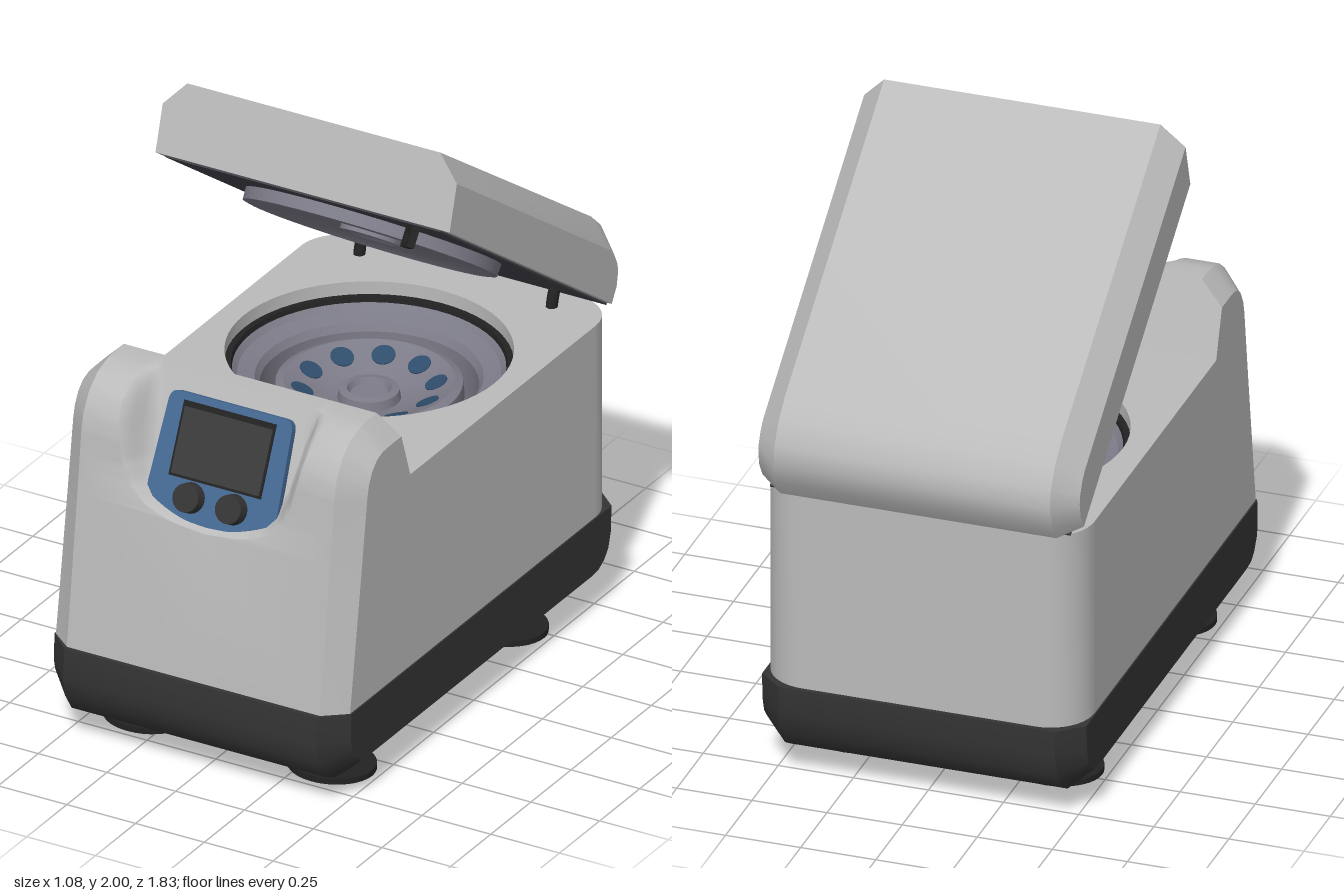
import * as THREE from 'three';
import { toCreasedNormals } from 'three/addons/utils/BufferGeometryUtils.js';

const mat = (name, color) => new THREE.MeshStandardMaterial({ name, color, side: THREE.DoubleSide });
const M = {
  shell: mat('light grey shell', 0xbababa),
  base: mat('charcoal base', 0x343434),
  black: mat('black fittings', 0x222222),
  blue: mat('blue trim', 0x446892),
  metal: mat('lavender metal', 0x7c7b88),
  liner: mat('dark lid liner', 0x444249),
  hole: mat('deep blue tube wells', 0x2f4d6b),
  screen: mat('screen grey', 0x3a3a3a),
};

const HALF = 0.535, FLAT = 0.46;          // outer half width, half width inside the chamfers
const CHAMBER_Z = -0.205, CHAMBER_R = 0.455, DECK = 1.02, SEAM = 0.34;

function add(parent, name, geo, material, x = 0, y = 0, z = 0) {
  const m = new THREE.Mesh(geo, material);
  m.name = name;
  m.position.set(x, y, z);
  parent.add(m);
  return m;
}

// Skin over rows of [x, y, z] points
function skin(rows, crease = 0.6) {
  const n = rows[0].length, idx = [];
  for (let i = 0; i < rows.length - 1; i++) for (let j = 0; j < n - 1; j++) {
    const a = i * n + j, b = a + n;
    idx.push(a, a + 1, b, a + 1, b + 1, b);
  }
  const g = new THREE.BufferGeometry();
  g.setAttribute('position', new THREE.Float32BufferAttribute(rows.flat(2), 3));
  g.setIndex(idx);
  return toCreasedNormals(g, crease);
}

// Flat side panels from a [z, y] outline, mirrored
function sides(parent, name, outline, half) {
  const g = new THREE.ShapeGeometry(new THREE.Shape(outline.map(p => new THREE.Vector2(...p))));
  g.rotateY(-Math.PI / 2).translate(-half, 0, 0);
  add(parent, name + 'Right', g, M[name.startsWith('base') ? 'base' : 'shell']);
  add(parent, name + 'Left', g, M[name.startsWith('base') ? 'base' : 'shell']).scale.x = -1;
}

// Closed [z, y] profile swept across x, chamfered to an inset profile at the sides
function chamferedBlock(parent, name, outer, inset, half, material) {
  const rows = outer.map(([z, y], i) => {
    const [iz, iy] = inset[i];
    return [[-half, iy, iz], [-FLAT, y, z], [FLAT, y, z], [half, iy, iz]];
  });
  rows.push(rows[0]);
  add(parent, name, skin(rows), material);
  sides(parent, name + 'Side', inset, half);
}

const lathe = (pts, seg = 64) =>
  toCreasedNormals(new THREE.LatheGeometry(pts.map(p => new THREE.Vector2(...p)), seg), 0.5);

// Piecewise linear lookup of column b by column a
function lookup(table, v, a, b) {
  for (let i = 1; i < table.length; i++) {
    const p = table[i - 1], q = table[i];
    if (v <= q[a]) return p[b] + (q[b] - p[b]) * Math.max(0, (v - p[a]) / (q[a] - p[a]));
  }
  return table[table.length - 1][b];
}

// Front skin with the scooped recess for the controls
const SCOOP = [[0.835, 0.001], [0.84, 0.09], [0.855, 0.16], [0.885, 0.23], [0.935, 0.28], [1.0, 0.307], [1.1, 0.327], [1.255, 0.35]];
const scoopZ = y => 0.60 + (1.255 - y) * 0.45;

function buildBody(g) {
  const outer = [[0.89, SEAM], [0.828, 0.835], [0.8, 1.07], [0.785, 1.13], [0.75, 1.19], [0.7, 1.23], [0.64, 1.25], [0.6, 1.255], [0.535, 1.255], [0.455, DECK]];
  const inset = [[0.83, SEAM], [0.757, 0.82], [0.722, 1.06], [0.712, 1.1], [0.69, 1.14], [0.66, 1.167], [0.625, 1.178], [0.59, 1.18], [0.51, 1.18], [0.455, DECK]];
  const half = [1, 0.96, 0.92, 0.88, 0.84, 0.8, 0.74, 0.6, 0.4, 0.2];
  const cols = [...half.map(v => -v), 0, ...[...half].reverse()];
  const rows = [];
  const row = (i, t) => {
    const mix = p => [0, 1].map(k => p[i][k] + (p[i + 1][k] - p[i][k]) * t);
    const [z, y] = mix(outer), [iz, iy] = mix(inset);
    const inScoop = i >= 1 && i < 7;
    const w = i >= 7 ? 0.35 : lookup(SCOOP, y, 0, 1);
    const inner = cols.map(c => {
      const x = c * w;
      if (!inScoop) return [x, y, z];
      const d = Math.min((w - Math.abs(x)) / 0.065, (y - lookup(SCOOP, Math.abs(x), 1, 0)) / 0.035);
      const f = THREE.MathUtils.smoothstep(d, 0, 1);
      return [x, y, z + Math.min(0, scoopZ(y) - z) * f];
    });
    rows.push([[-HALF, iy, iz], [-FLAT, y, z], ...inner, [FLAT, y, z], [HALF, iy, iz]]);
  };
  for (let i = 0; i < outer.length - 1; i++) {
    const n = i === 1 ? 20 : i > 1 && i < 7 ? 2 : 1;
    for (let k = 0; k < n; k++) row(i, k / n);
  }
  row(outer.length - 2, 1);
  add(g, 'frontHousing', skin(rows), M.shell);
  sides(g, 'bodySide', [...inset, [-0.7, DECK], [-0.7, SEAM]], HALF);

  // Back wall with rounded corners, and the deck with the chamber opening
  const R = 0.145, plan = [];
  for (const s of [1, -1]) for (let k = 0; k <= 10; k++) {
    const a = (s > 0 ? k : 10 - k) / 10 * Math.PI / 2;
    plan.push([s * (HALF - R + R * Math.cos(a)), -0.7 - R * Math.sin(a)]);
  }
  add(g, 'backWall', skin([SEAM, DECK].map(y => plan.map(([x, z]) => [x, y, z]))), M.shell);
  const deck = new THREE.Shape([[HALF, 0.455], ...plan, [-HALF, 0.455]].map(([x, z]) => new THREE.Vector2(x, -z)));
  deck.holes.push(new THREE.Path().absarc(0, -CHAMBER_Z, CHAMBER_R, 0, Math.PI * 2, true));
  add(g, 'deck', new THREE.ShapeGeometry(deck, 32).rotateX(-Math.PI / 2), M.shell, 0, DECK, 0);
}

function buildChamber(g) {
  const c = new THREE.Group();
  c.name = 'chamber';
  c.position.z = CHAMBER_Z;
  g.add(c);
  add(c, 'openingWall', lathe([[CHAMBER_R, 0.965], [CHAMBER_R, DECK]]), M.shell);
  add(c, 'seal', lathe([[0.43, 0.955], [0.435, 0.975], [CHAMBER_R, 0.975]]), M.black);
  add(c, 'bowl', lathe([[0, 0.62], [0.34, 0.62], [0.345, 0.9], [0.36, 0.925], [0.415, 0.94], [0.432, 0.96]]), M.metal);
  add(c, 'rotor', lathe([[0.24, 0.64], [0.3, 0.86], [0.295, 0.905], [0.27, 0.915], [0.15, 0.86], [0.1, 0.85], [0.095, 0.88], [0.07, 0.885], [0.06, 0.865], [0, 0.865]]), M.metal);
  const tilt = Math.atan2(0.055, 0.12);
  for (let i = 0; i < 10; i++) {
    const arm = new THREE.Group();
    arm.name = 'tubeWell' + (i + 1);
    arm.rotation.y = i * Math.PI / 5;
    add(arm, 'well', new THREE.CylinderGeometry(0.038, 0.038, 0.008, 20), M.hole, 0.212, 0.889, 0).rotation.z = tilt;
    c.add(arm);
  }
}

function buildPanel(g) {
  const p = new THREE.Group();
  p.name = 'controlPanel';
  p.position.set(0, 1.02, scoopZ(1.02));
  p.rotation.x = -Math.atan(0.45);
  g.add(p);
  const s = new THREE.Shape();
  s.moveTo(-0.19, 0.2).lineTo(0.19, 0.2);
  s.quadraticCurveTo(0.222, 0.2, 0.224, 0.165).lineTo(0.235, -0.1);
  s.quadraticCurveTo(0.235, -0.135, 0.2, -0.15).quadraticCurveTo(0.1, -0.2, 0, -0.2);
  s.quadraticCurveTo(-0.1, -0.2, -0.2, -0.15).quadraticCurveTo(-0.235, -0.135, -0.235, -0.1);
  s.lineTo(-0.224, 0.165).quadraticCurveTo(-0.222, 0.2, -0.19, 0.2);
  add(p, 'panelPlate', new THREE.ExtrudeGeometry(s, { depth: 0.04, bevelEnabled: false, curveSegments: 8 }), M.blue, 0, 0, -0.015);
  add(p, 'screenBezel', new THREE.BoxGeometry(0.335, 0.242, 0.006), M.black, 0, 0.055, 0.026);
  add(p, 'screen', new THREE.BoxGeometry(0.32, 0.215, 0.006), M.screen, 0, 0.05, 0.028);
  for (const x of [-0.075, 0.08])
    add(p, 'knob', new THREE.CylinderGeometry(0.046, 0.05, 0.04, 28).rotateX(Math.PI / 2), M.base, x, -0.12, 0.043);
}

function buildLid(g) {
  chamferedBlock(g, 'lid',
    [[0.21, 1.767], [0.14, 2], [-0.8, 1.342], [-0.86, 1.285], [-0.9, 1.215], [-0.91, 1.15], [-0.885, 1.08], [-0.845, 1.02]],
    [[0.21, 1.767], [0.165, 1.92], [-0.79, 1.247], [-0.815, 1.22], [-0.835, 1.18], [-0.84, 1.15], [-0.83, 1.1], [-0.8, 1.052]],
    HALF, M.shell);
  // Underside fittings, in the tilted plane of the lid
  const u = new THREE.Group();
  u.name = 'lidUnderside';
  u.position.set(0, 1.3935, -0.3175);
  u.rotation.x = -Math.atan(0.708);
  g.add(u);
  add(u, 'liner', new THREE.BoxGeometry(1.0, 0.008, 1.27), M.liner, 0, -0.002, 0.008);
  add(u, 'chamberCover', lathe([[0, -0.035], [0.08, -0.035], [0.1, -0.045], [0.1, -0.015], [0.25, -0.02], [0.36, -0.032], [0.4, -0.05], [0.418, -0.046], [0.42, 0]]), M.metal, 0, 0, 0.1);
  const hook = new THREE.Shape([[-0.04, 0.02], [-0.04, -0.075], [0.04, -0.075], [0.04, 0.02]].map(p => new THREE.Vector2(...p)));
  hook.holes.push(new THREE.Path([[-0.02, -0.03], [0.02, -0.03], [0.02, -0.06], [-0.02, -0.06]].map(p => new THREE.Vector2(...p))));
  add(u, 'latchHook', new THREE.ExtrudeGeometry(hook, { depth: 0.025, bevelEnabled: false }), M.black, 0.37, 0, 0.545).rotation.y = -0.85;
}

export function createModel() {
  const g = new THREE.Group();
  g.name = 'benchCentrifuge';

  // Chamfered tub under the housing
  chamferedBlock(g, 'base',
    [[-0.86, SEAM], [-0.86, 0.25], [-0.84, 0.17], [-0.8, 0.115], [-0.74, 0.08], [-0.66, 0.07], [0.73, 0.07], [0.8, 0.08], [0.86, 0.11], [0.9, 0.17], [0.915, 0.24], [0.905, SEAM]],
    [[-0.79, SEAM], [-0.785, 0.25], [-0.77, 0.2], [-0.745, 0.17], [-0.71, 0.15], [-0.66, 0.145], [0.72, 0.145], [0.77, 0.15], [0.8, 0.17], [0.825, 0.21], [0.835, 0.25], [0.83, SEAM]],
    0.54, M.base);
  buildBody(g);
  buildChamber(g);
  buildPanel(g);
  buildLid(g);

  // Latch slot in the deck
  add(g, 'latchSlot', new THREE.BoxGeometry(0.1, 0.006, 0.028), M.black, 0.372, DECK, 0.34).rotation.y = -0.85;

  for (const x of [-0.35, 0.35]) {
    // Hinge arms
    const arc = new THREE.QuadraticBezierCurve3(
      new THREE.Vector3(0, 0.98, -0.74), new THREE.Vector3(0, 1.06, -0.74), new THREE.Vector3(0, 1.11, -0.785));
    add(g, 'hingeArm', new THREE.TubeGeometry(arc, 8, 0.02, 8), M.black, x, 0, 0);
    // Feet
    for (const z of [0.6, -0.47]) {
      const fx = Math.sign(x) * 0.335;
      add(g, 'footStem', new THREE.CylinderGeometry(0.042, 0.042, 0.07, 24), M.blue, fx, 0.045, z);
      add(g, 'footPad', new THREE.CylinderGeometry(0.128, 0.128, 0.02, 36), M.black, fx, 0.01, z).scale.x = 1.14;
    }
  }
  return g;
}
